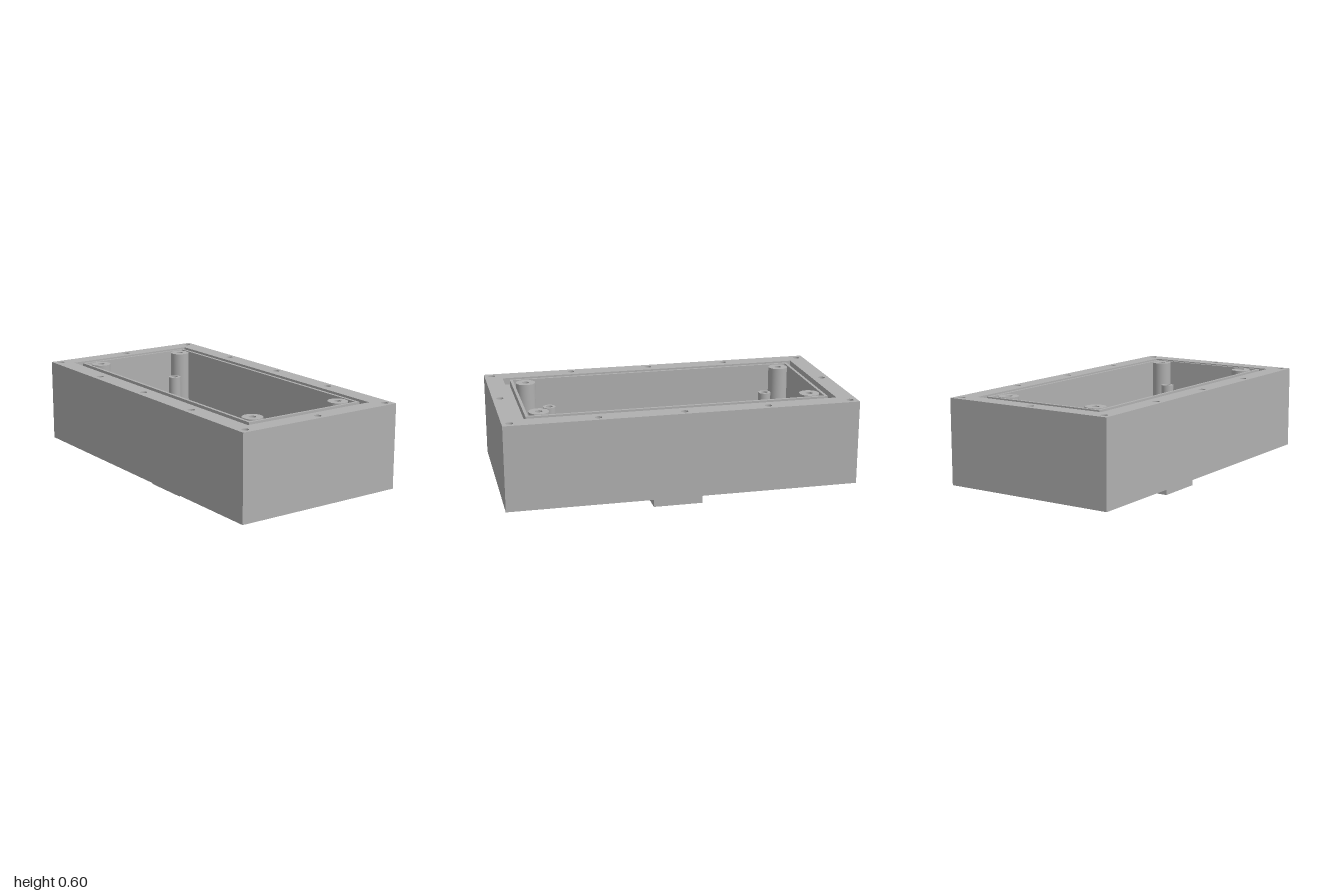
import * as THREE from 'three';
import { mergeGeometries } from 'three/addons/utils/BufferGeometryUtils.js';

// Heights
const BASE = 0.117, FLOOR = 0.15, TOP = 0.603, SMALL_TOP = 0.483, GROOVE = 0.563;
// Half sizes in x and z
const OUTER = [0.515, 1], GROOVE_OUT = [0.41, 0.898], GROOVE_IN = [0.374, 0.86];
const CAVITY = [0.357, 0.844], FOOT = [0.33, 0.143], SLOT = [0.22, 0.028];
const HOLE = 0.02;

// Sweeps a rectangle through [halfX, halfZ, y] steps; rising steps face outward
function rectSweep(steps) {
  const corners = [[-1, 1], [1, 1], [1, -1], [-1, -1]];
  const pos = [];
  const at = ([hx, hz, y], [sx, sz]) => [hx * sx, y, hz * sz];
  for (let s = 0; s < steps.length - 1; s++) {
    for (let i = 0; i < 4; i++) {
      const j = (i + 1) % 4;
      const a = at(steps[s], corners[i]), b = at(steps[s], corners[j]);
      const c = at(steps[s + 1], corners[j]), d = at(steps[s + 1], corners[i]);
      pos.push(...a, ...b, ...c, ...a, ...c, ...d);
    }
  }
  const g = new THREE.BufferGeometry();
  g.setAttribute('position', new THREE.Float32BufferAttribute(pos, 3));
  g.computeVertexNormals();
  return g;
}

// Turned profile of [radius, y] points with sharp edges between segments
function turned(points) {
  const parts = [];
  for (let i = 0; i < points.length - 1; i++) {
    const pair = [points[i], points[i + 1]].map(([r, y]) => new THREE.Vector2(r, y));
    parts.push(new THREE.LatheGeometry(pair, 32));
  }
  return mergeGeometries(parts);
}

// Flat rectangular face with rectangular and round openings
function plate(size, y, up, rects, circles) {
  const outline = (target, [hx, hz]) => {
    target.moveTo(-hx, -hz);
    target.lineTo(hx, -hz);
    target.lineTo(hx, hz);
    target.lineTo(-hx, hz);
    target.closePath();
    return target;
  };
  const shape = outline(new THREE.Shape(), size);
  rects.forEach((r) => shape.holes.push(outline(new THREE.Path(), r)));
  circles.forEach(([x, z]) => {
    shape.holes.push(new THREE.Path().absarc(x, z, HOLE, 0, Math.PI * 2, true));
  });
  const g = new THREE.ShapeGeometry(shape, 16);
  g.rotateX(up ? -Math.PI / 2 : Math.PI / 2);
  g.translate(0, y, 0);
  return g;
}

const fourCorners = (x, z) => [[x, z], [-x, z], [x, -z], [-x, -z]];

export function createModel() {
  const group = new THREE.Group();
  const grey = new THREE.MeshStandardMaterial({ color: 0xb0b0b0 });
  grey.name = 'grey';

  const add = (name, geometry, x = 0, z = 0) => {
    const mesh = new THREE.Mesh(geometry, grey);
    mesh.name = name;
    mesh.position.set(x, 0, z);
    group.add(mesh);
  };

  const bigPosts = fourCorners(0.291, 0.777);
  const smallPosts = fourCorners(0.172, 0.657);
  const screws = [[0, 0.957], [0, -0.957], [0.471, 0], [-0.471, 0],
    ...fourCorners(0.471, 0.957), ...fourCorners(0.471, 0.478)];

  // Box shell
  add('outerWalls', rectSweep([[...OUTER, BASE], [...OUTER, TOP]]));
  add('rim', plate(OUTER, TOP, true, [GROOVE_OUT], screws));
  add('underside', plate(OUTER, BASE, false, [FOOT], bigPosts));
  add('floor', plate(CAVITY, FLOOR, true, [], bigPosts));

  // Seal groove, thin lip and cavity walls
  add('grooveAndInnerWalls', rectSweep([
    [...GROOVE_OUT, TOP], [...GROOVE_OUT, GROOVE], [...GROOVE_IN, GROOVE],
    [...GROOVE_IN, TOP], [...CAVITY, TOP], [...CAVITY, FLOOR],
  ]));

  // Blind screw holes in the rim
  const screwHole = turned([[HOLE, TOP], [HOLE, TOP - 0.15], [0, TOP - 0.15]]);
  screws.forEach(([x, z]) => add('screwHole', screwHole, x, z));

  // Tall corner posts, drilled through the base
  const tall = turned([[0.057, FLOOR], [0.057, TOP], [HOLE, TOP], [HOLE, BASE]]);
  bigPosts.forEach(([x, z]) => add('cornerPost', tall, x, z));

  // Shorter inner posts with blind holes
  const short = turned([[0.037, FLOOR], [0.037, SMALL_TOP], [HOLE, SMALL_TOP],
    [HOLE, FLOOR + 0.01], [0, FLOOR + 0.01]]);
  smallPosts.forEach(([x, z]) => add('innerPost', short, x, z));

  // Foot block with a slot in its underside
  add('slottedFoot', rectSweep([
    [SLOT[0] - SLOT[1], 0, BASE], [...SLOT, BASE], [...SLOT, 0], [...FOOT, 0], [...FOOT, BASE],
  ]));

  return group;
}
